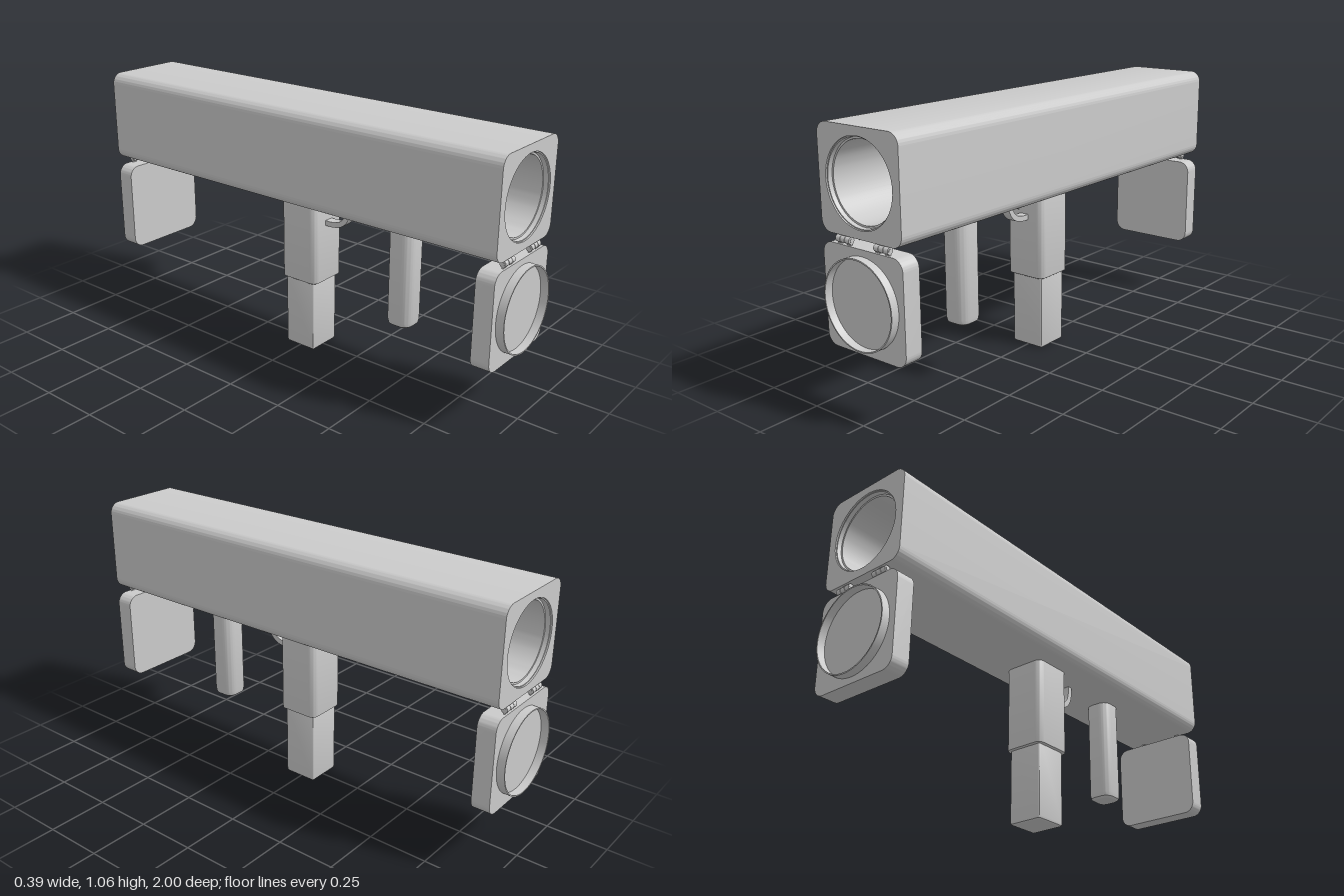
import * as THREE from 'three';
import { toCreasedNormals } from 'three/addons/utils/BufferGeometryUtils.js';

const material = new THREE.MeshStandardMaterial({ color: 0xcccccc });
const BODY_Y = 0.867, CAP_Y = 0.447, HALF = 0.195, END = 0.968;

function add(parent, name, geometry) {
  const mesh = new THREE.Mesh(geometry, material);
  mesh.name = name;
  parent.add(mesh);
  return mesh;
}

// Rounded rectangle centred on the origin
function roundedRect(w, h, r) {
  const x = w / 2, y = h / 2, s = new THREE.Shape();
  s.absarc(x - r, y - r, r, 0, Math.PI / 2);
  s.absarc(-x + r, y - r, r, Math.PI / 2, Math.PI);
  s.absarc(-x + r, -y + r, r, Math.PI, Math.PI * 1.5);
  s.absarc(x - r, -y + r, r, Math.PI * 1.5, Math.PI * 2);
  s.closePath();
  return s;
}

function withHole(shape, r) {
  shape.holes.push(new THREE.Path().absarc(0, 0, r, 0, Math.PI * 2, true));
  return shape;
}

// Extrude along z with smooth curves and sharp edges
function extrude(shape, depth, curveSegments = 8, bevel = 0) {
  const geometry = new THREE.ExtrudeGeometry(shape, {
    depth: depth - 2 * bevel, curveSegments, bevelEnabled: bevel > 0,
    bevelSize: bevel * 0.6, bevelOffset: -bevel * 0.6, bevelThickness: bevel, bevelSegments: 2,
  });
  geometry.translate(0, 0, bevel);
  return toCreasedNormals(geometry, 0.6);
}

// Upright rounded post between two heights
function post(parent, name, w, d, r, y0, y1, z, bevel) {
  const geometry = extrude(roundedRect(w, d, r), y1 - y0, 6, bevel).rotateX(-Math.PI / 2);
  add(parent, name, geometry).position.set(0, y0, z);
}

// Flat strip following a curve in the z-y plane, points given as [z, y]
function strip(parent, name, points, thickness, width) {
  const curve = new THREE.CatmullRomCurve3(points.map(([z, y]) => new THREE.Vector3(z, y, 0)));
  const outer = [], inner = [], n = 24;
  for (let i = 0; i <= n; i++) {
    const p = curve.getPoint(i / n), t = curve.getTangent(i / n), h = thickness / 2;
    outer.push(new THREE.Vector2(p.x - t.y * h, p.y + t.x * h));
    inner.unshift(new THREE.Vector2(p.x + t.y * h, p.y - t.x * h));
  }
  const geometry = extrude(new THREE.Shape([...outer, ...inner]), width);
  geometry.translate(0, 0, -width / 2).rotateY(-Math.PI / 2);
  add(parent, name, geometry);
}

// Hinged cover hanging open below one end
function endCap() {
  const cap = new THREE.Group();
  add(cap, 'capPlate', extrude(roundedRect(HALF * 2, 0.386, 0.045), 0.075)).position.set(0, CAP_Y, END - 0.075);
  const ring = withHole(new THREE.Shape().absarc(0, 0, 0.168, 0, Math.PI * 2), 0.163);
  add(cap, 'capLip', extrude(ring, 0.032, 48)).position.set(0, CAP_Y, END);
  for (const side of [-1, 1]) {
    // Knuckles in three pieces, with small leaves to the body and the cap
    [0.071, 0.094, 0.117].forEach((x, i) => {
      const knuckle = new THREE.CylinderGeometry(0.013, 0.013, 0.021, 16).rotateZ(Math.PI / 2);
      add(cap, 'hingeKnuckle', knuckle).position.set(side * x, 0.657, 0.957);
      const leaf = new THREE.BoxGeometry(0.021, 0.022, 0.006);
      add(cap, 'hingeLeaf', leaf).position.set(side * x, i === 1 ? 0.667 : 0.647, 0.957);
    });
    const pin = new THREE.CylinderGeometry(0.007, 0.007, 0.07, 12).rotateZ(Math.PI / 2);
    add(cap, 'hingePin', pin).position.set(side * 0.094, 0.657, 0.957);
  }
  return cap;
}

export function createModel() {
  const model = new THREE.Group();
  model.name = 'launcher';

  // Square housing with a round bore
  const housing = withHole(roundedRect(HALF * 2, 0.386, 0.045), 0.161);
  add(model, 'housing', extrude(housing, END * 2, 32)).position.set(0, BODY_Y, -END);

  // Bore lining with a stepped mouth at each end
  const profile = [
    [0.161, -0.962], [0.157, -0.962], [0.155, -0.945], [0.148, -0.945],
    [0.148, 0.945], [0.155, 0.945], [0.157, 0.962], [0.161, 0.962],
  ].map(([r, z]) => new THREE.Vector2(r, z));
  const lining = new THREE.LatheGeometry(profile, 64).rotateX(Math.PI / 2);
  const bore = add(model, 'boreLining', toCreasedNormals(lining, 0.6));
  bore.position.y = BODY_Y;
  bore.material = material.clone();
  bore.material.side = THREE.DoubleSide;

  // Matching covers at both ends
  const frontCap = endCap();
  frontCap.name = 'frontCap';
  const backCap = endCap();
  backCap.name = 'backCap';
  backCap.rotation.y = Math.PI;
  model.add(frontCap, backCap);

  // Grips
  post(model, 'foreGrip', 0.112, 0.112, 0.04, 0.23, 0.71, 0.475, 0.024);
  post(model, 'mainGrip', 0.18, 0.18, 0.028, 0.31, 0.7, 0.005, 0.006);
  post(model, 'gripBase', 0.15, 0.146, 0.008, 0, 0.33, 0.003, 0.012);

  // Trigger and its guard
  strip(model, 'triggerGuard', [[0.208, 0.69], [0.208, 0.645], [0.197, 0.605], [0.17, 0.577], [0.13, 0.566], [0.08, 0.566]], 0.022, 0.04);
  strip(model, 'trigger', [[0.12, 0.69], [0.123, 0.655], [0.131, 0.63], [0.147, 0.61]], 0.014, 0.024);

  return model;
}
